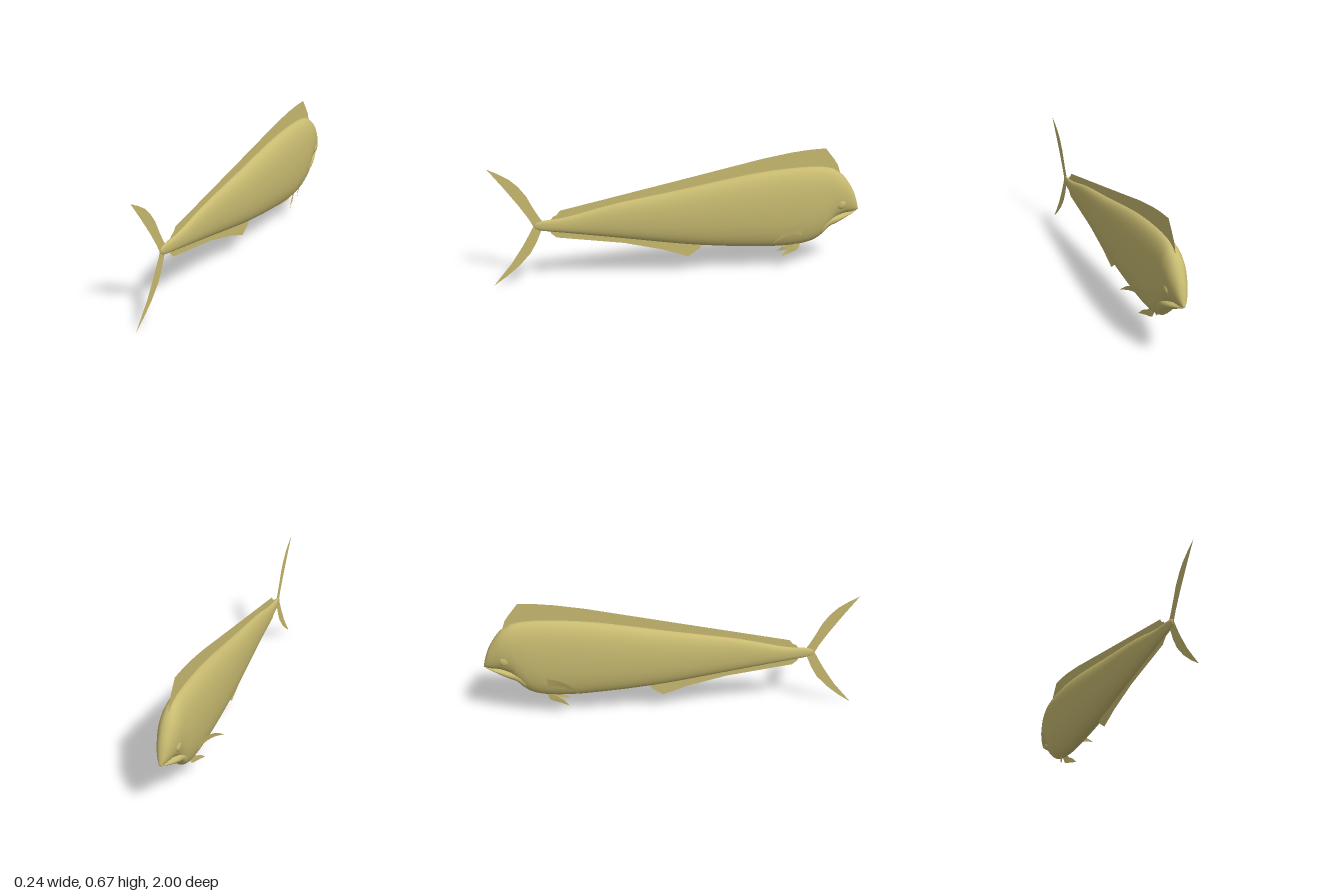
import * as THREE from 'three';

const skin = new THREE.MeshStandardMaterial({ color: 0xc8ba70, side: THREE.DoubleSide });
skin.name = 'olive gold skin';

function add(group, name, geometry) {
  const mesh = new THREE.Mesh(geometry, skin);
  mesh.name = name;
  group.add(mesh);
  return mesh;
}

// Smooth loft through oval sections, listed tail to head: [z, top, bottom, half width]
function loft(stations, steps, sides = 32) {
  const spine = new THREE.CatmullRomCurve3(
    stations.map(([z, t, b]) => new THREE.Vector3(z, t, b)), false, 'catmullrom');
  const girth = new THREE.CatmullRomCurve3(
    stations.map((s) => new THREE.Vector3(s[3], 0, 0)), false, 'catmullrom');
  const pos = [], index = [];
  const rounded = (v) => Math.sign(v) * Math.abs(v) ** 0.93;
  for (let i = 0; i <= steps; i++) {
    const { x: z, y: top, z: bottom } = spine.getPoint(i / steps);
    const w = girth.getPoint(i / steps).x;
    for (let j = 0; j < sides; j++) {
      const a = (j / sides) * Math.PI * 2;
      pos.push(w * rounded(Math.cos(a)),
        (top + bottom) / 2 + ((top - bottom) / 2) * rounded(Math.sin(a)), z);
    }
  }
  for (let i = 0; i < steps; i++) {
    for (let j = 0; j < sides; j++) {
      const a = i * sides + j, c = i * sides + (j + 1) % sides;
      index.push(a, a + sides, c, c, a + sides, c + sides);
    }
  }
  // End caps
  const first = stations[0], last = stations[stations.length - 1];
  const tail = pos.length / 3, head = tail + 1, end = steps * sides;
  for (const s of [first, last]) pos.push(0, (s[1] + s[2]) / 2, s[0]);
  for (let j = 0; j < sides; j++) {
    const k = (j + 1) % sides;
    index.push(tail, j, k, head, end + k, end + j);
  }
  const g = new THREE.BufferGeometry();
  g.setAttribute('position', new THREE.Float32BufferAttribute(pos, 3));
  g.setIndex(index);
  g.computeVertexNormals();
  return g;
}

// Flat fin on the centre plane, outlined as [z, y]
function flatFin(points) {
  const shape = new THREE.Shape(points.map(([z, y]) => new THREE.Vector2(z, y)));
  return new THREE.ShapeGeometry(shape).rotateY(-Math.PI / 2);
}

// Curved fin spanning two edges of [x, y, z] points
function curvedFin(edgeA, edgeB, side, steps = 12) {
  const curve = (e) => new THREE.CatmullRomCurve3(
    e.map(([x, y, z]) => new THREE.Vector3(x * side, y, z))).getPoints(steps);
  const a = curve(edgeA), b = curve(edgeB), index = [];
  for (let i = 0; i < steps; i++) {
    const k = i * 2;
    if (side > 0) index.push(k, k + 1, k + 2, k + 2, k + 1, k + 3);
    else index.push(k, k + 2, k + 1, k + 2, k + 3, k + 1);
  }
  const g = new THREE.BufferGeometry().setFromPoints(a.flatMap((p, i) => [p, b[i]]));
  g.setIndex(index);
  g.computeVertexNormals();
  return g;
}

export function createModel() {
  const fish = new THREE.Group();
  fish.name = 'fish';

  // Tall narrow body with a blunt forehead
  add(fish, 'body', loft([
    [0.77, 0.34, 0.315, 0.005],
    [0.73, 0.354, 0.3, 0.011],
    [0.6, 0.37, 0.28, 0.02],
    [0.35, 0.428, 0.24, 0.035],
    [0, 0.487, 0.183, 0.054],
    [-0.2, 0.523, 0.158, 0.063],
    [-0.4, 0.556, 0.141, 0.069],
    [-0.56, 0.573, 0.134, 0.07],
    [-0.69, 0.579, 0.143, 0.069],
    [-0.77, 0.577, 0.17, 0.066],
    [-0.82, 0.57, 0.22, 0.062],
    [-0.86, 0.555, 0.275, 0.058],
    [-0.91, 0.517, 0.303, 0.049],
    [-0.96, 0.445, 0.31, 0.032],
    [-0.985, 0.385, 0.315, 0.018],
    [-1, 0.33, 0.32, 0.005],
  ], 120));

  // Lower jaw tucked beneath the mouth line
  add(fish, 'lowerJaw', loft([
    [-0.74, 0.3, 0.18, 0.035],
    [-0.79, 0.3, 0.188, 0.046],
    [-0.83, 0.298, 0.232, 0.047],
    [-0.88, 0.302, 0.256, 0.04],
    [-0.94, 0.309, 0.287, 0.025],
    [-0.99, 0.319, 0.313, 0.006],
  ], 30, 24));

  // Long dorsal fin, anal fin and forked tail
  add(fish, 'dorsalFin', flatFin([
    [0.69, 0.35], [0.675, 0.374], [0.655, 0.382], [0.636, 0.406], [0, 0.54], [-0.45, 0.636],
    [-0.61, 0.663], [-0.7, 0.673], [-0.8, 0.678], [-0.85, 0.615], [-0.872, 0.583],
    [-0.89, 0.53], [-0.8, 0.54], [-0.4, 0.53], [0, 0.46], [0.4, 0.4],
  ]));
  add(fish, 'analFin', flatFin([
    [0.7, 0.31], [0.685, 0.28], [0.658, 0.257], [0.3, 0.203], [0.086, 0.15], [-0.048, 0.102],
    [-0.112, 0.144], [-0.13, 0.185], [0, 0.21], [0.4, 0.26],
  ]));
  add(fish, 'tailFin', flatFin([
    [0.72, 0.34], [0.745, 0.375], [0.775, 0.43], [0.807, 0.495], [0.845, 0.547], [0.888, 0.588],
    [0.94, 0.62], [1, 0.65], [0.92, 0.545], [0.845, 0.44], [0.8, 0.37], [0.778, 0.326],
    [0.8, 0.285], [0.834, 0.225], [0.9, 0.125], [1, 0.004], [0.93, 0.052], [0.86, 0.11],
    [0.8, 0.175], [0.765, 0.235], [0.735, 0.305],
  ]));

  // Paired fins and eyes
  for (const [label, side] of [['left', 1], ['right', -1]]) {
    add(fish, label + 'PectoralFin', curvedFin(
      [[0.05, 0.255, -0.71], [0.075, 0.262, -0.636], [0.1, 0.24, -0.556], [0.119, 0.192, -0.488]],
      [[0.045, 0.2, -0.69], [0.07, 0.22, -0.62], [0.093, 0.215, -0.556], [0.119, 0.192, -0.488]],
      side));
    add(fish, label + 'PelvicFin', curvedFin(
      [[0.008, 0.15, -0.68], [0.013, 0.108, -0.66], [0.025, 0.094, -0.61], [0.044, 0.083, -0.558]],
      [[0.02, 0.145, -0.64], [0.024, 0.132, -0.625], [0.034, 0.11, -0.585], [0.044, 0.083, -0.558]],
      side));
    const eye = add(fish, label + 'Eye', new THREE.SphereGeometry(0.026, 24, 16));
    eye.scale.x = 0.4;
    eye.position.set(side * 0.046, 0.369, -0.887);
  }
  return fish;
}
